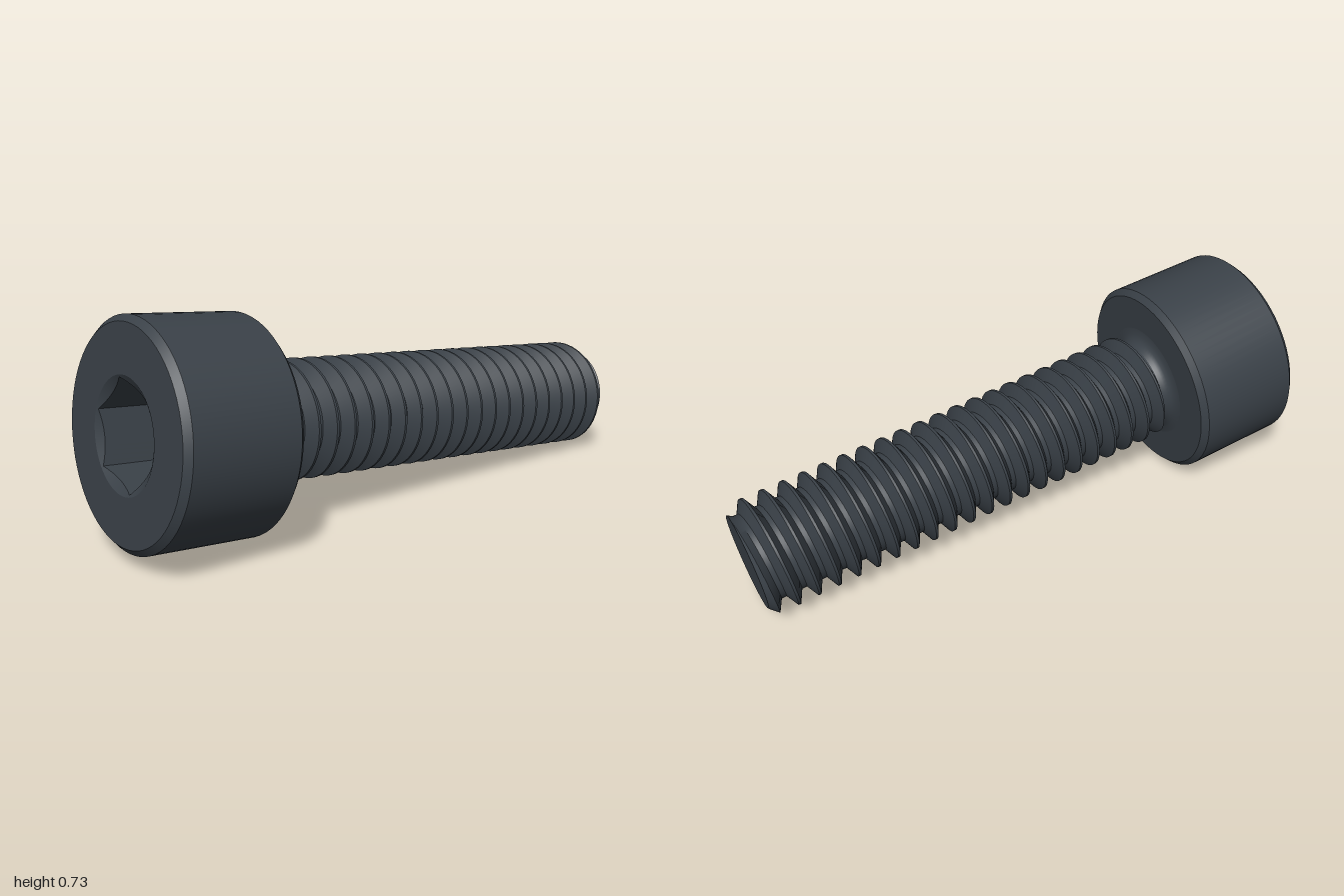
import * as THREE from 'three';
import { toCreasedNormals } from 'three/addons/utils/BufferGeometryUtils.js';

const SIDES = 72;
const HEAD_R = 0.346, CHAMFER = 0.02, HEAD_END = 0.374; // head, along the screw axis
const MAJOR = 0.194, MINOR = 0.152, PITCH = 0.0702;     // thread
const THREAD_START = 0.41, TIP = 1.921, TIP_R = 0.163;

// Skin of rings around the y axis; at(row, angle) gives [radius, height]
function ringSkin(rows, at, inward = false, crease = 0.6) {
  const pos = [];
  const point = (i, c) => {
    const a = (c / SIDES) * Math.PI * 2;
    const [r, y] = at(i, a);
    return new THREE.Vector3(r * Math.sin(a), y, r * Math.cos(a));
  };
  const tri = (a, b, c) => {
    const area = b.clone().sub(a).cross(c.clone().sub(a)).length();
    if (area < 1e-9) return;
    for (const p of inward ? [a, c, b] : [a, b, c]) pos.push(p.x, p.y, p.z);
  };
  for (let i = 0; i < rows - 1; i++) {
    for (let c = 0; c < SIDES; c++) {
      const a = point(i, c), b = point(i, c + 1);
      const e = point(i + 1, c), f = point(i + 1, c + 1);
      tri(a, b, e);
      tri(b, f, e);
    }
  }
  const g = new THREE.BufferGeometry();
  g.setAttribute('position', new THREE.Float32BufferAttribute(pos, 3));
  return toCreasedNormals(g, crease);
}

function lathe(points) {
  const profile = points.map(([r, y]) => new THREE.Vector2(r, y));
  return toCreasedNormals(new THREE.LatheGeometry(profile, SIDES), 0.6);
}

// Helical thread: four profile points per turn, cut off at both ends
function threadGeometry() {
  const profile = [[-0.06, MAJOR], [0.06, MAJOR], [0.38, MINOR], [0.62, MINOR]];
  return ringSkin(26 * 4, (i, a) => {
    const [offset, radius] = profile[i % 4];
    const turn = Math.floor(i / 4) - 3 + offset + a / (Math.PI * 2);
    const y = 0.449 + turn * PITCH;
    if (y <= THREAD_START) return [MINOR, THREAD_START];
    if (y >= TIP) return [TIP_R, TIP];
    const limit = Math.min(MINOR + (y - THREAD_START) * 2, TIP_R + (TIP - y));
    return [Math.min(radius, limit), y];
  });
}

// Hexagonal recess with a conical lead-in
const SOCKET_R = 0.175;
function socketGeometry() {
  const apothem = 0.146, sector = Math.PI / 3;
  return ringSkin(4, (i, a) => {
    const local = (a - Math.PI / 4 + 2 * sector) % sector;
    const hex = apothem / Math.cos(local - sector / 2);
    return [
      [SOCKET_R, -CHAMFER],
      [hex, -CHAMFER + (SOCKET_R - hex) * 0.577],
      [hex, 0.18],
      [0, 0.18],
    ][i];
  }, true, 0.4);
}

export function createModel() {
  const steel = new THREE.MeshStandardMaterial({ color: 0x3a4148 });
  steel.name = 'dark steel';

  const screw = new THREE.Group();
  screw.name = 'screw';
  const add = (name, geometry) => {
    const mesh = new THREE.Mesh(geometry, steel);
    mesh.name = name;
    screw.add(mesh);
  };

  // Cylindrical head with chamfered rims
  add('head', lathe([
    [SOCKET_R, -CHAMFER], [HEAD_R - CHAMFER, -CHAMFER], [HEAD_R, 0],
    [HEAD_R, HEAD_END - CHAMFER], [HEAD_R - CHAMFER, HEAD_END], [0.2, HEAD_END],
  ]));
  add('hexSocket', socketGeometry());

  // Fillet between head and thread
  add('neck', lathe([
    [0.205, HEAD_END], [0.183, 0.377], [0.168, 0.385], [0.157, 0.397], [MINOR, THREAD_START],
  ]));
  add('thread', threadGeometry());
  add('tip', lathe([[TIP_R, TIP], [0, TIP]]));

  // Lean the screw axis: head high at the back, tip low at the front
  const axis = new THREE.Vector3(1, -0.105, 0.21).normalize();
  const front = axis.clone().cross(new THREE.Vector3(0, 1, 0)).normalize();
  const up = front.clone().cross(axis);
  screw.quaternion.setFromRotationMatrix(new THREE.Matrix4().makeBasis(front, axis, up));
  screw.position.set(-0.908, 0.387, -0.117);

  const model = new THREE.Group();
  model.name = 'socketHeadScrew';
  model.add(screw);
  return model;
}
